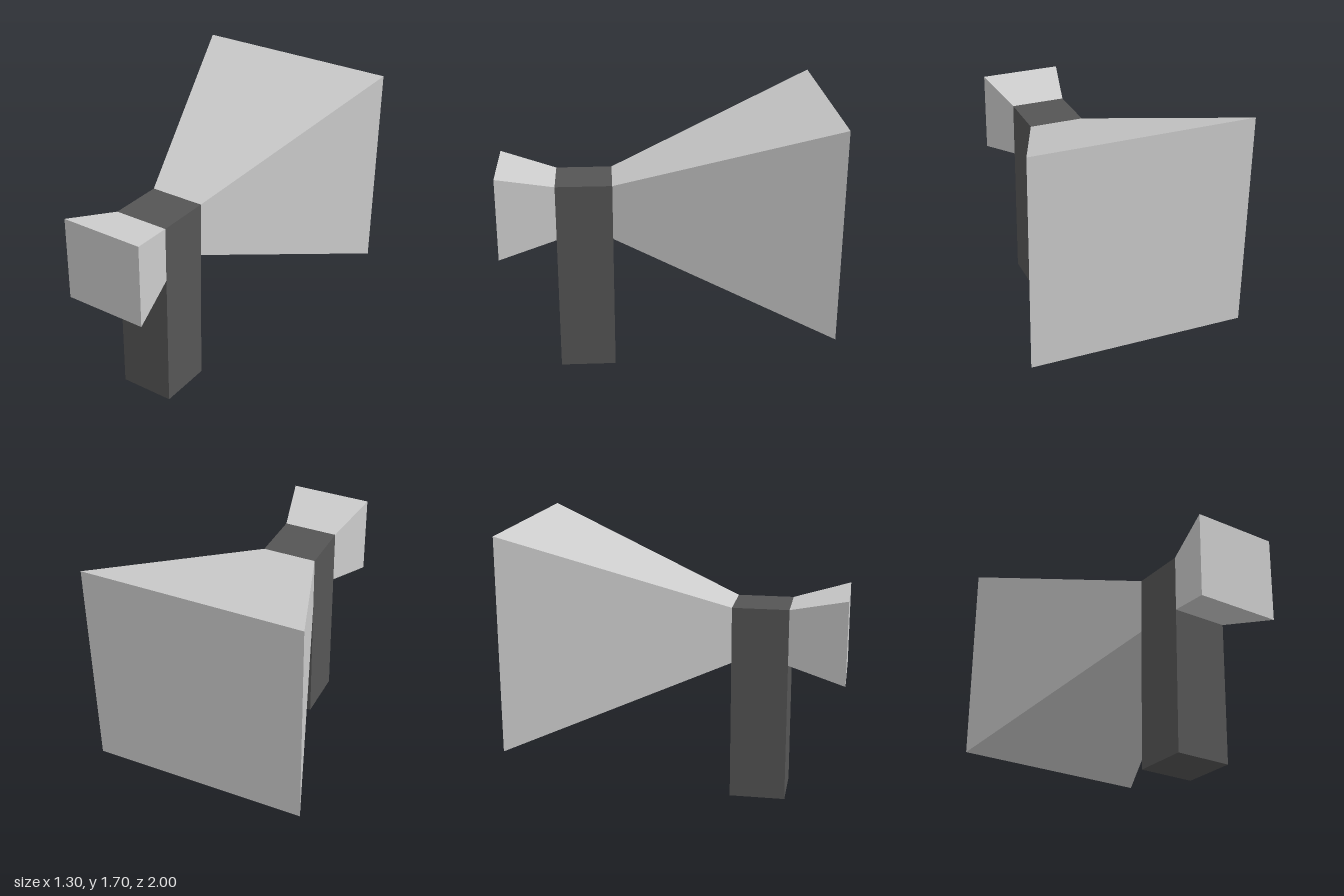
import * as THREE from 'three';

const AXIS_Y = 1.047; // height of the horn axis
const POST_HALF = 0.173;
const POST_FRONT = 0.65;
const POST_BACK = 0.305;

// Square frustum along z, with half-widths at its front and back ends
function squareHorn(name, material, zFront, halfFront, zBack, halfBack) {
  const geometry = new THREE.CylinderGeometry(
    halfFront * Math.SQRT2, halfBack * Math.SQRT2, zFront - zBack, 4, 1);
  geometry.rotateY(Math.PI / 4);
  geometry.rotateX(Math.PI / 2);
  const mesh = new THREE.Mesh(geometry, material);
  mesh.name = name;
  mesh.position.set(0, AXIS_Y, (zFront + zBack) / 2);
  return mesh;
}

export function createModel() {
  const group = new THREE.Group();
  group.name = 'hornOnPost';

  const lightGrey = new THREE.MeshStandardMaterial({ color: 0xcccccc, flatShading: true });
  lightGrey.name = 'light grey';
  const darkGrey = new THREE.MeshStandardMaterial({ color: 0x555555, flatShading: true });
  darkGrey.name = 'dark grey';

  // Upright post, rising to the top of the horn necks
  const height = AXIS_Y + POST_HALF;
  const post = new THREE.Mesh(
    new THREE.BoxGeometry(POST_HALF * 2, height, POST_FRONT - POST_BACK), darkGrey);
  post.name = 'post';
  post.position.set(0, height / 2, (POST_FRONT + POST_BACK) / 2);
  group.add(post);

  // Small horn at the front, large horn at the back
  group.add(squareHorn('frontHorn', lightGrey, 1, 0.26, POST_FRONT, POST_HALF));
  group.add(squareHorn('backHorn', lightGrey, POST_BACK, POST_HALF, -1, 0.65));

  return group;
}
